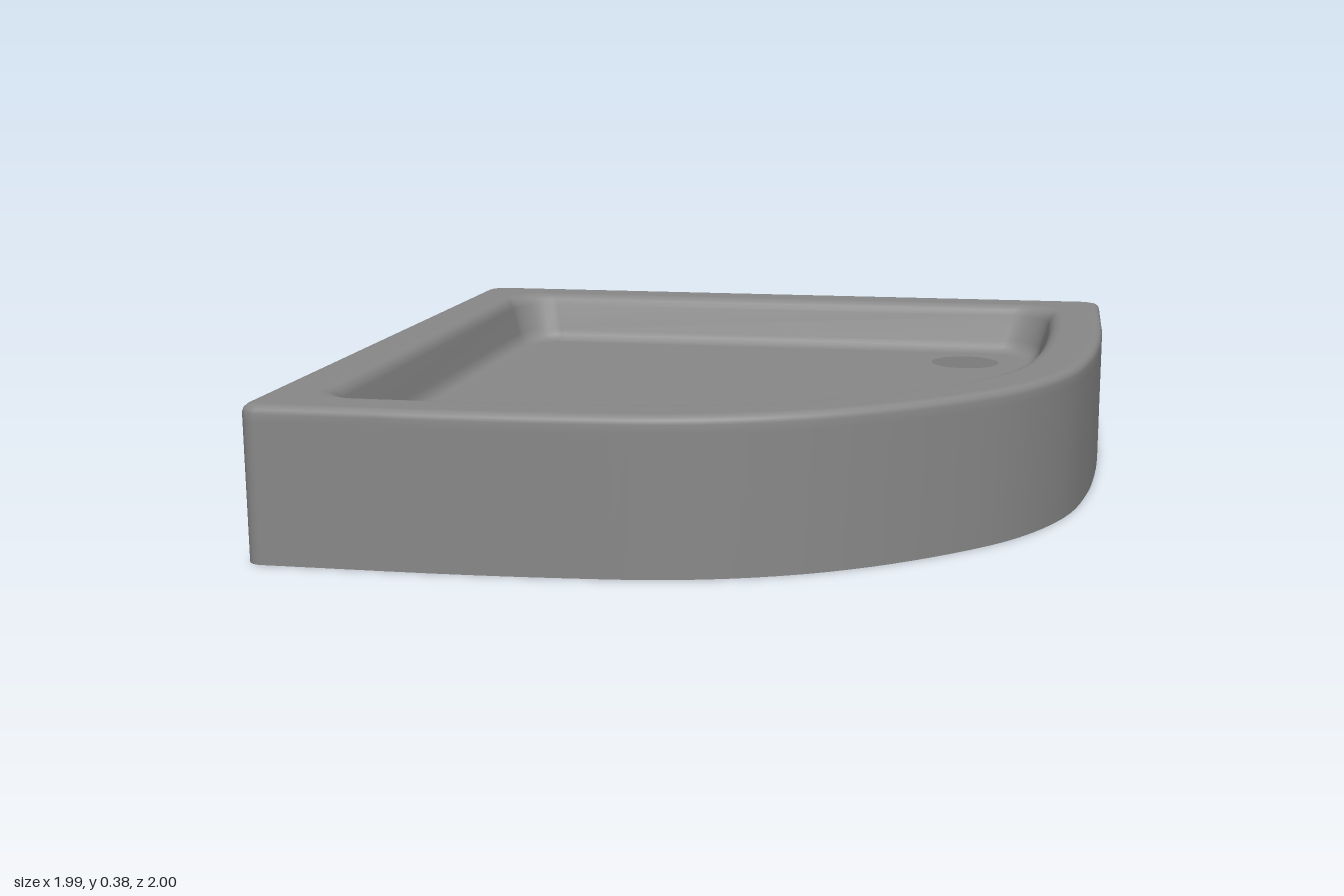
import * as THREE from 'three';

const LEFT = -0.995, RIGHT = 0.993, BACK = -1, FRONT = 1;
const RIM_Y = 0.38, FLOOR_Y = 0.24;

// Sweeping front edge, from the right side round to the front side
const sweep = new THREE.CatmullRomCurve3([
  [RIGHT, -0.65], [RIGHT, -0.5], [0.981, -0.24], [0.955, 0], [0.9, 0.24], [0.78, 0.47], [0.6, 0.66],
  [0.39, 0.815], [0.2, 0.905], [0, 0.96], [-0.25, 0.986], [-0.5, 0.998], [-0.65, FRONT],
].map(([x, z]) => new THREE.Vector3(x, 0, z)), false, 'centripetal');

// Plan outline inset by d, with rounded corners of radius r
function outline(d, r) {
  const pts = [];
  const corner = (cx, cz, start) => {
    for (let i = 0; i <= 8; i++) {
      const a = start + (i / 8) * Math.PI / 2;
      pts.push([cx + r * Math.cos(a), cz + r * Math.sin(a)]);
    }
  };
  const k = d + r;
  corner(LEFT + k, BACK + k, Math.PI);
  corner(RIGHT - k, BACK + k, Math.PI * 1.5);
  for (let i = 0; i <= 48; i++) {
    const p = sweep.getPointAt(i / 48), t = sweep.getTangentAt(i / 48);
    pts.push([p.x - t.z * d, p.z + t.x * d]);
  }
  corner(LEFT + k, FRONT - k, Math.PI / 2);
  return pts;
}

// Skin between successive outlines; each section is [inset, height, corner radius]
function loft(sections) {
  const pos = [], index = [];
  let n = 0;
  for (const [d, y, r] of sections) {
    const ring = outline(d, r);
    n = ring.length;
    for (const [x, z] of ring) pos.push(x, y, z);
  }
  for (let s = 0; s < sections.length - 1; s++) {
    for (let i = 0; i < n; i++) {
      const a = s * n + i, b = s * n + (i + 1) % n;
      index.push(a, a + n, b, b, a + n, b + n);
    }
  }
  const g = new THREE.BufferGeometry();
  g.setAttribute('position', new THREE.Float32BufferAttribute(pos, 3));
  g.setIndex(index);
  g.computeVertexNormals();
  return g;
}

export function createModel() {
  const group = new THREE.Group();
  group.name = 'showerTray';
  const grey = new THREE.MeshStandardMaterial({ color: 0x888888, side: THREE.DoubleSide });
  grey.name = 'grey';

  // Outer wall, rounded lip, flat rim and sloping basin sides
  const shell = new THREE.Mesh(loft([
    [0, 0, 0.04], [0, 0.34, 0.04], [0, 0.36, 0.04],
    [0.003, 0.37, 0.04], [0.01, 0.377, 0.04], [0.02, RIM_Y, 0.04], [0.03, RIM_Y, 0.04],
    [0.11, RIM_Y, 0.12], [0.12, RIM_Y, 0.12],
    [0.134, 0.376, 0.12], [0.146, 0.366, 0.12], [0.154, 0.35, 0.12],
    [0.176, 0.274, 0.11], [0.184, 0.256, 0.11], [0.196, 0.244, 0.1],
    [0.21, FLOOR_Y, 0.1], [0.22, FLOOR_Y, 0.1],
  ]), grey);
  shell.name = 'wallAndRim';
  group.add(shell);

  // Basin floor with the round drain opening
  const shape = new THREE.Shape(outline(0.22, 0.1).map(([x, z]) => new THREE.Vector2(x, -z)));
  shape.holes.push(new THREE.Path().absarc(0.595, 0.62, 0.1, 0, Math.PI * 2, true));
  const floorGeo = new THREE.ShapeGeometry(shape, 24);
  floorGeo.rotateX(-Math.PI / 2);
  const floor = new THREE.Mesh(floorGeo, grey);
  floor.name = 'basinFloor';
  floor.position.y = FLOOR_Y;
  group.add(floor);

  return group;
}
